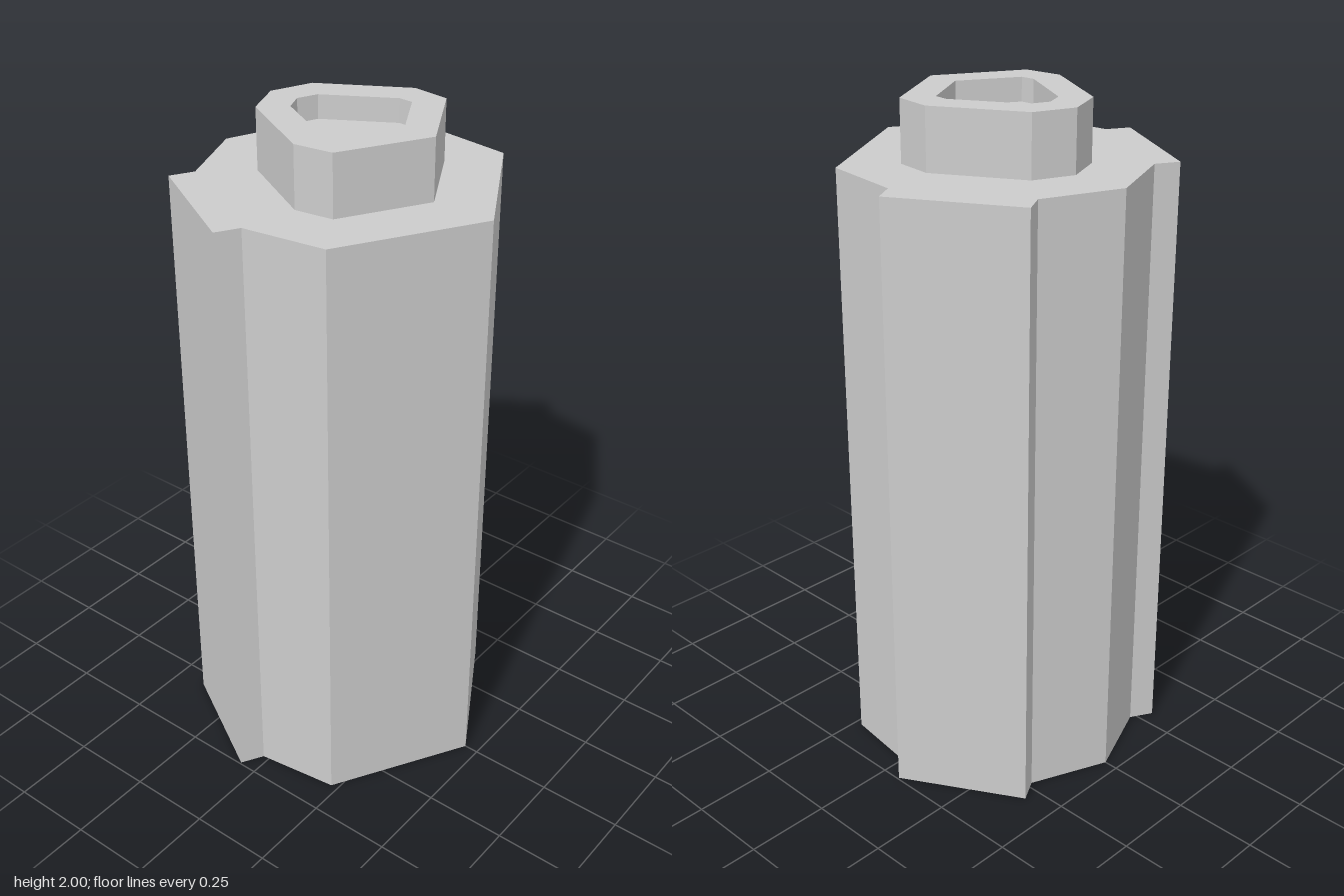
import * as THREE from 'three';

const material = new THREE.MeshStandardMaterial({ color: 0xcccccc, flatShading: true, side: THREE.DoubleSide });

const BODY_TOP = 1.82, TOP = 2, RECESS = 1.93;

// Half outlines as [x, z], from the +x tip round to the -x tip
const core = [[0.457, 0], [0.227, -0.397], [-0.02, -0.43], [-0.363, -0.232], [-0.458, 0]];
const slab = [[-0.02, -0.43], [-0.058, -0.495], [-0.4, -0.298], [-0.363, -0.232]];
const studOuter = [[0.27, 0], [0.13, -0.247], [0.015, -0.262], [-0.235, -0.12], [-0.284, 0]];
const studInner = [[0.17, 0], [0.073, -0.167], [0.03, -0.17], [-0.165, -0.058], [-0.19, 0]];

const flip = (pts) => pts.map(([x, z]) => [x, -z]).reverse();
const full = (half) => [...half, ...flip(half).slice(1, -1)];
const vectors = (pts) => pts.map(([x, z]) => new THREE.Vector2(x, -z));

function add(group, name, geometry) {
  const mesh = new THREE.Mesh(geometry, material);
  mesh.name = name;
  group.add(mesh);
}

// Upright sheet along a path of [x, z] points, running counter-clockwise from above
function wall(path, y0, y1) {
  const positions = [];
  for (let i = 0; i < path.length - 1; i++) {
    const [ax, az] = path[i], [bx, bz] = path[i + 1];
    positions.push(ax, y0, az, bx, y0, bz, bx, y1, bz, ax, y0, az, bx, y1, bz, ax, y1, az);
  }
  const geometry = new THREE.BufferGeometry();
  geometry.setAttribute('position', new THREE.Float32BufferAttribute(positions, 3));
  geometry.computeVertexNormals();
  return geometry;
}

// Flat upward-facing plate, optionally with a hole
function plate(outline, y, hole) {
  const shape = new THREE.Shape(vectors(outline));
  if (hole) shape.holes.push(new THREE.Path(vectors(hole)));
  return new THREE.ShapeGeometry(shape).rotateX(-Math.PI / 2).translate(0, y, 0);
}

const closed = (pts) => [...pts, pts[0]];

export function createModel() {
  const group = new THREE.Group();

  // Thin hollow body, open underneath
  const [tip, corner, notch, backNotch, backTip] = core;
  const front = [tip, corner, notch];
  add(group, 'rightShell', wall([...flip(front), ...front.slice(1)], 0, BODY_TOP));
  const back = [backNotch, backTip];
  add(group, 'leftShell', wall([...back, ...flip(back).slice(1)], 0, BODY_TOP));
  add(group, 'deck', plate(full(core), BODY_TOP));

  // Thick side slabs standing proud of the shell
  for (const [name, outline] of [['backSlab', slab], ['frontSlab', flip(slab)]]) {
    const geometry = new THREE.ExtrudeGeometry(new THREE.Shape(vectors(outline)), { depth: BODY_TOP, bevelEnabled: false });
    add(group, name, geometry.rotateX(-Math.PI / 2));
  }

  // Stud with a shallow recess
  const outer = full(studOuter), inner = full(studInner);
  add(group, 'studWall', wall(closed(outer), BODY_TOP, TOP));
  add(group, 'studRim', plate(outer, TOP, inner));
  add(group, 'recessWall', wall(closed(inner).reverse(), RECESS, TOP));
  add(group, 'recessFloor', plate(inner, RECESS));

  return group;
}
